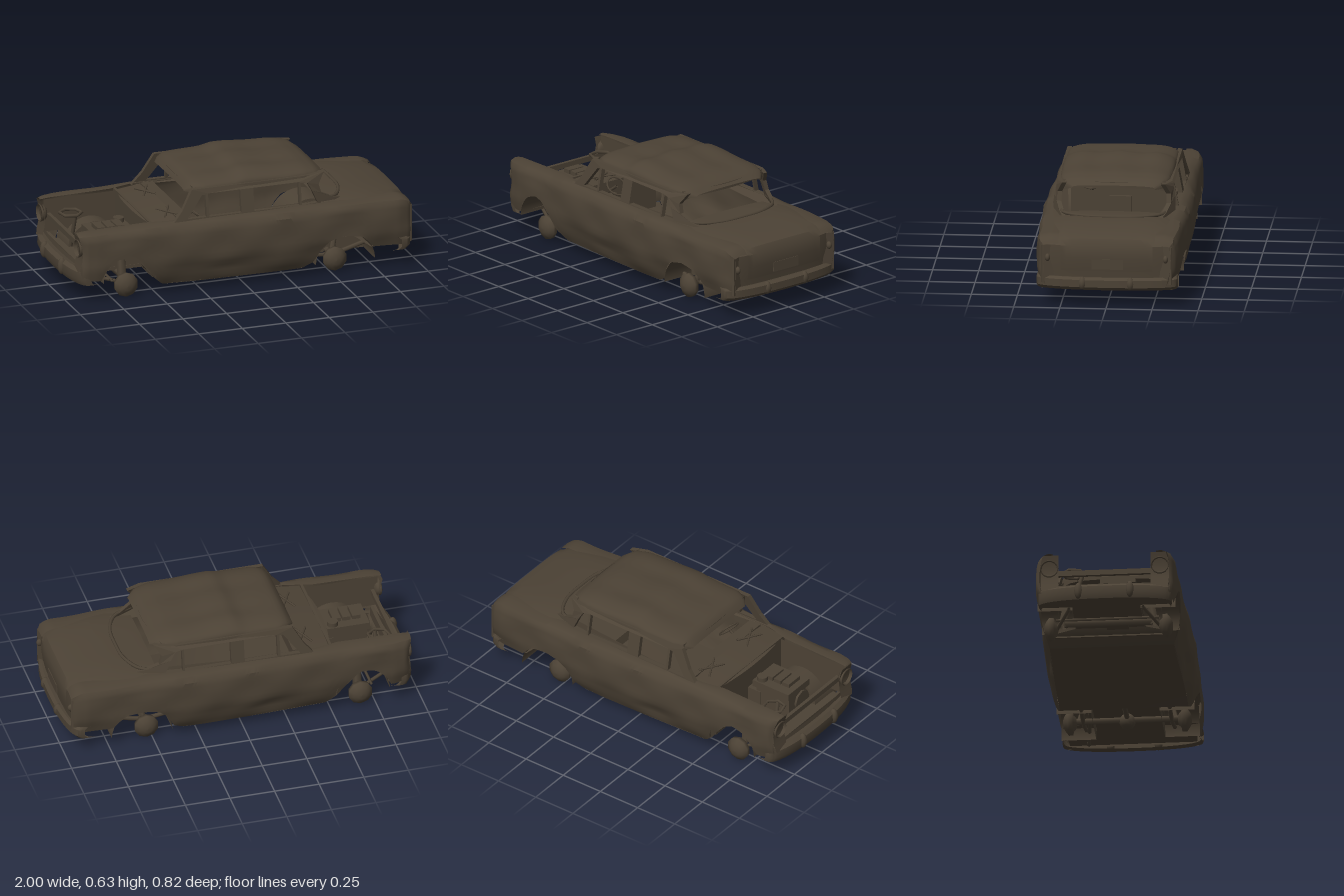
import * as THREE from 'three';
import { toCreasedNormals } from 'three/addons/utils/BufferGeometryUtils.js';

const rust = new THREE.MeshStandardMaterial({ color: 0x4c4235, side: THREE.DoubleSide });
rust.name = 'rustyBrown';

// Piecewise linear lookup in a list of [key, value]
function at(table, k) {
  if (k <= table[0][0]) return table[0][1];
  for (let i = 1; i < table.length; i++) {
    const [a, va] = table[i - 1], [b, vb] = table[i];
    if (k <= b) return va + (vb - va) * (k - a) / (b - a);
  }
  return table[table.length - 1][1];
}
const power = (n, e) => Math.sign(n) * Math.abs(n) ** e;

// Surface from rows of points: f(u, v, i, j) -> [x, y, z]
function surface(nu, nv, f) {
  const pos = [], idx = [];
  for (let i = 0; i <= nu; i++) for (let j = 0; j <= nv; j++) pos.push(...f(i / nu, j / nv, i, j));
  for (let i = 0; i < nu; i++) for (let j = 0; j < nv; j++) {
    const a = i * (nv + 1) + j, b = a + nv + 1;
    idx.push(a, b, a + 1, b, b + 1, a + 1);
  }
  const g = new THREE.BufferGeometry();
  g.setAttribute('position', new THREE.Float32BufferAttribute(pos, 3));
  g.setIndex(idx);
  return toCreasedNormals(g, 0.6);
}

// Body tables along x, and width against height
const topY = [[-0.95, 0.38], [-0.9, 0.385], [-0.6, 0.39], [-0.4, 0.395], [0.4, 0.39], [0.9, 0.38], [0.94, 0.365], [0.96, 0.34]];
const bottomY = [[-0.95, 0.19], [-0.93, 0.13], [-0.83, 0.125], [-0.8, 0.19], [-0.75, 0.235], [-0.68, 0.26], [-0.63, 0.24],
  [-0.57, 0.17], [-0.53, 0.11], [-0.47, 0.055], [-0.3, 0.05], [0.33, 0.05], [0.39, 0.08], [0.43, 0.16], [0.48, 0.205],
  [0.56, 0.22], [0.66, 0.205], [0.7, 0.17], [0.73, 0.13], [0.96, 0.12]];
const widthX = [[-0.95, 0.86], [-0.92, 0.91], [-0.85, 0.94], [-0.4, 0.955], [-0.1, 0.985], [0.2, 1], [0.6, 0.97], [0.88, 0.95], [0.94, 0.91], [0.96, 0.85]];
const widthY = [[0.04, 0.345], [0.1, 0.378], [0.2, 0.405], [0.3, 0.405], [0.36, 0.4], [0.38, 0.388], [0.4, 0.365]];
const railZ = [[-0.95, 0.28], [-0.55, 0.28], [-0.42, 0.31], [0.45, 0.31], [0.62, 0.27], [0.96, 0.26]];

function sideShell(s) {
  const rows = 12;
  return surface(110, rows + 2, (u, v, i, j) => {
    const x = -0.95 + 1.91 * u, b = at(bottomY, x), t = at(topY, x);
    if (j > rows) { // shoulder turning inward
      const k = (j - rows) / 2, z0 = at(widthY, t) * at(widthX, x);
      return [x, t + 0.012 * Math.sin(k * 2.4), s * (z0 + (at(railZ, x) - z0) * k)];
    }
    const y = b + (t - b) * j / rows;
    const dent = 0.018 * Math.exp(-(((x + 0.12) / 0.12) ** 2) - ((y - 0.12) / 0.03) ** 2)
      + 0.005 * Math.sin(x * 17 + s) * Math.sin((y - 0.05) * 22);
    // the nose leans back below the brow
    const lean = x < -0.9 ? 0.02 * Math.sin(Math.PI * Math.min(1, (t - y) / 0.2)) * (-0.9 - x) / 0.05 : 0;
    return [x + lean, y, s * (at(widthY, y) * at(widthX, x) - dent)];
  });
}

// Window frame of one side, leaning inward
function greenhouse(s) {
  const poly = p => p.map(q => new THREE.Vector2(...q));
  const shape = new THREE.Shape(poly([[-0.41, 0.39], [-0.35, 0.46], [-0.29, 0.565], [0.1, 0.565], [0.4, 0.565], [0.48, 0.565], [0.44, 0.505],
    [0.455, 0.455], [0.52, 0.42], [0.62, 0.39], [0.42, 0.39], [0, 0.39]]));
  shape.holes = [
    [[-0.325, 0.41], [-0.235, 0.53], [-0.215, 0.53], [-0.215, 0.41]],
    [[-0.2, 0.41], [-0.2, 0.535], [-0.015, 0.535], [-0.015, 0.41]],
    [[0.06, 0.41], [0.06, 0.535], [0.32, 0.535], [0.32, 0.41]],
    [[0.332, 0.41], [0.332, 0.53], [0.37, 0.525], [0.395, 0.48], [0.425, 0.41]],
  ].map(h => new THREE.Path(poly(h)));
  const g = new THREE.ExtrudeGeometry(shape, { depth: 0.025, bevelEnabled: false });
  const p = g.attributes.position;
  for (let i = 0; i < p.count; i++) {
    const x = p.getX(i), y = p.getY(i);
    p.setZ(i, s * (p.getZ(i) + 0.32 - (y - 0.39) * 0.19 - Math.max(0, x - 0.4) * 0.4));
  }
  g.computeVertexNormals();
  return g;
}

// Bumper: section swept across the width, wrapping round the corners; d is the facing direction
function bumper(d, half, section) {
  return surface(36, section.length - 1, (u, v, i, j) => {
    const a = (u - 0.5) * Math.PI, [out, y] = section[j];
    const z = power(Math.sin(a), 0.6), x = Math.max(0, Math.cos(a)) ** 0.5;
    return [d * (out - 0.025 * z * z - 0.075 * (1 - x)), y, z * (half - (1 - out) * 0.2)];
  });
}

export function createModel() {
  const car = new THREE.Group();
  car.name = 'wreckedSedan';
  const add = (name, g, x = 0, y = 0, z = 0, rx = 0, ry = 0, rz = 0) => {
    const m = new THREE.Mesh(g, rust);
    m.name = name;
    m.position.set(x, y, z);
    m.rotation.set(rx, ry, rz);
    car.add(m);
    return m;
  };
  const box = (name, w, h, d, ...place) => add(name, new THREE.BoxGeometry(w, h, d), ...place);
  const path = (name, r, ...pts) => add(name, new THREE.TubeGeometry(
    new THREE.CatmullRomCurve3(pts.map(p => new THREE.Vector3(...p))), pts.length > 2 ? 24 : 1, r, 6));

  // Dented roof
  const roofTop = [[-0.31, 0.545], [-0.295, 0.572], [-0.26, 0.595], [-0.15, 0.602], [-0.04, 0.608], [0.02, 0.622], [0.2, 0.613], [0.38, 0.6], [0.45, 0.585], [0.49, 0.555]];
  const roofWidth = [[-0.31, 0.235], [-0.28, 0.275], [-0.22, 0.3], [0.1, 0.306], [0.36, 0.3], [0.44, 0.28], [0.49, 0.225]];
  add('roof', surface(36, 28, (u, v) => {
    const x = -0.31 + 0.8 * u, a = (v - 0.5) * Math.PI, e = 0.535;
    const z = at(roofWidth, x) * power(Math.sin(a), 0.7);
    const dent = Math.sin(Math.PI * u) * Math.cos(a) * (0.006 * Math.sin(z * 29 + 1.6) + 0.004 * Math.sin(x * 21));
    return [x, e + (at(roofTop, x) - e) * Math.max(0, Math.cos(a)) ** 0.45 + dent, z];
  }));
  const headers = [['frontHeader', -0.295, -0.02], ['rearHeader', 0.475, 0.04]];
  for (const [name, x0, bow] of headers) // curved strips over the open windows
    add(name, surface(14, 2, (u, v) => {
      const t = 2 * u - 1;
      return [x0 - bow * t * t, 0.57 - v * (0.035 + 0.025 * t ** 6), t * 0.28];
    }));

  // Rear deck and tail panel
  const deck = [[0.46, 0.405], [0.6, 0.415], [0.7, 0.41], [0.88, 0.395], [0.94, 0.37], [0.962, 0.34], [0.965, 0.27], [0.955, 0.2], [0.95, 0.12]];
  const deckPanel = (half, lift, first, n) => surface(n, 16, (u, v, i) => {
    const [x, y] = deck[first + i], z = (2 * v - 1) * half, w = (z / 0.36) ** 4;
    return [x - (x > 0.9 ? 0.03 * w : 0) + (x > 0.93 ? lift : 0), y + (x > 0.95 ? 0 : lift - 0.03 * w), z];
  });
  add('rearDeck', deckPanel(0.355, 0, 0, 8));
  add('trunkLid', deckPanel(0.25, 0.006, 2, 5));
  box('plateRecess', 0.008, 0.055, 0.17, 0.97, 0.24, -0.005);
  path('rearWindowRim', 0.01, [0.45, 0.42, -0.3], [0.55, 0.415, -0.26], [0.61, 0.415, -0.14], [0.62, 0.415, 0],
    [0.61, 0.415, 0.14], [0.55, 0.415, 0.26], [0.45, 0.42, 0.3]);

  // Floor pan: x, y, half width
  const pan = [[-0.93, 0.13, 0.33], [-0.82, 0.13, 0.345], [-0.81, 0.13, 0.19], [-0.54, 0.13, 0.19], [-0.52, 0.1, 0.355], [-0.46, 0.055, 0.338],
    [-0.1, 0.052, 0.347], [0.33, 0.052, 0.35], [0.39, 0.08, 0.355], [0.4, 0.13, 0.19], [0.68, 0.14, 0.19], [0.72, 0.13, 0.365], [0.93, 0.12, 0.345]];
  add('floorPan', surface(pan.length - 1, 2, (u, v, i) => [pan[i][0], pan[i][1], (2 * v - 1) * pan[i][2]]));

  // Cowl, firewall and cabin fittings
  add('cowl', surface(4, 8, (u, v) => {
    const t = 2 * v - 1;
    return [-0.54 + 0.18 * u + 0.04 * t * t, 0.385 + 0.022 * u - 0.01 * t * t, t * 0.32];
  }));
  box('firewall', 0.015, 0.3, 0.62, -0.51, 0.24, 0);
  box('dashboard', 0.07, 0.06, 0.6, -0.33, 0.375, 0);
  add('steeringWheel', new THREE.TorusGeometry(0.058, 0.005, 6, 20), -0.24, 0.392, 0.18, -Math.PI / 2, 0.7, 0);
  path('steeringColumn', 0.008, [-0.36, 0.31, 0.18], [-0.24, 0.392, 0.18]);
  for (const z of [-0.24, 0.1]) for (const e of [0, 0.14])
    path('cowlStrut', 0.006, [-0.42, 0.4, z + e], [-0.35, 0.41, z + 0.14 - e]);

  // Engine
  box('engineBlock', 0.22, 0.16, 0.15, -0.68, 0.22, 0.06);
  box('engineHead', 0.24, 0.04, 0.19, -0.68, 0.295, 0.06);
  for (let i = 0; i < 3; i++) box('valveCover', 0.045, 0.025, 0.1, -0.74 + i * 0.055, 0.325, 0.07);
  add('airCleaner', new THREE.CylinderGeometry(0.03, 0.03, 0.04, 12), -0.6, 0.32, 0);
  add('fan', new THREE.CylinderGeometry(0.06, 0.06, 0.012, 8), -0.82, 0.24, 0.06, 0, 0, Math.PI / 2);
  box('gearbox', 0.12, 0.12, 0.12, -0.54, 0.18, 0.04);
  add('batteryTray', new THREE.TorusGeometry(0.06, 0.009, 6, 6), -0.81, 0.33, -0.18, Math.PI / 2, 0, 0.3);
  path('trayPost', 0.012, [-0.81, 0.14, -0.18], [-0.8, 0.33, -0.13]);

  // Nose and bumpers
  add('nosePanel', surface(16, 3, (u, v) => {
    const t = 2 * u - 1;
    return [-0.945 + 0.02 * t * t + 0.01 * v, 0.12 + 0.09 * v, t * 0.335];
  }));
  box('radiatorSupport', 0.02, 0.03, 0.58, -0.9, 0.29, 0);
  box('radiatorFrame', 0.02, 0.06, 0.58, -0.9, 0.16, 0);
  add('frontBumper', bumper(-1, 0.365, [[0.93, 0.185], [0.965, 0.192], [0.985, 0.175], [0.988, 0.135], [0.975, 0.105], [0.93, 0.105]]));
  add('rearBumper', bumper(1, 0.385, [[0.94, 0.162], [0.975, 0.167], [0.992, 0.155], [0.992, 0.115], [0.975, 0.097], [0.93, 0.095]]));

  // Axles
  path('rearAxle', 0.018, [0.53, 0.075, -0.3], [0.53, 0.075, 0.3]);
  add('differential', new THREE.SphereGeometry(0.045, 12, 8), 0.53, 0.067, 0);
  path('driveShaft', 0.014, [0.5, 0.075, 0], [0.34, 0.066, 0]);
  path('frontCrossmember', 0.022, [-0.67, 0.1, -0.24], [-0.67, 0.1, 0.24]);
  path('trackRod', 0.008, [-0.74, 0.09, -0.28], [-0.74, 0.09, 0.28]);
  path('exhaustPipe', 0.012, [0.5, 0.11, -0.2], [0.9, 0.11, -0.24]);

  // Parts on both sides
  const points = list => list.map(p => new THREE.Vector2(...p));
  const hubProfile = points([[0, -0.035], [0.03, -0.03], [0.045, -0.014], [0.065, -0.011], [0.068, 0.013], [0.045, 0.03], [0.025, 0.04], [0, 0.042]]);
  const lampProfile = points([[0, -0.02], [0.035, -0.012], [0.045, 0], [0.05, 0.02], [0.044, 0.025], [0.042, 0]]);
  for (const s of [-1, 1]) {
    add('bodySide', sideShell(s));
    add('windowFrame', greenhouse(s));
    add('innerFender', surface(12, 1, (u, v) => [-0.93 + 0.42 * u, 0.2 + 0.185 * v, s * 0.28]));
    // Front end of each fender, with an open lamp bowl
    add('fenderNose', surface(6, 4, (u, v) => {
      const y = 0.17 + 0.21 * u;
      return [-0.95 + 0.02 * Math.sin(Math.PI * Math.min(1, (0.38 - y) / 0.2)), y, s * (0.25 + (at(widthY, y) * 0.86 - 0.25) * v)];
    }));
    add('headlamp', new THREE.LatheGeometry(lampProfile, 14), -0.925, 0.305, s * 0.3, 0, 0, Math.PI / 2);
    add('tailLamp', new THREE.SphereGeometry(0.018, 10, 8), 0.955, 0.27, s * 0.32).scale.set(1, 1.2, 0.8);
    box('tailCorner', 0.012, 0.21, 0.07, 0.945, 0.235, s * 0.32, 0, s * 0.3, 0);
    for (const [name, x, y, h, z] of [['frontOverrider', -0.975, 0.153, 0.047, 0.14], ['rearOverrider', 0.975, 0.135, 0.036, 0.13]])
      add(name, new THREE.SphereGeometry(1, 10, 8), x, y, s * z).scale.set(0.025, h, 0.022);
    // Wheel wells, hubs and springs
    for (const [x, y, r] of [[-0.67, 0.11, 0.15], [0.57, 0.065, 0.17]]) {
      const liner = new THREE.CylinderGeometry(r, r, 0.19, 16, 1, true, Math.PI / 2, Math.PI);
      add('wheelWell', liner, x, y, s * 0.28, Math.PI / 2, 0, 0);
      add('wellWall', new THREE.CircleGeometry(r, 16, 0, Math.PI), x, y, s * 0.187);
    }
    for (const x of [-0.67, 0.53])
      add('wheelHub', new THREE.LatheGeometry(hubProfile, 10), x, 0.068, s * 0.307, s * Math.PI / 2, 0, 0);
    path('springStrut', 0.025, [-0.67, 0.08, s * 0.25], [-0.67, 0.24, s * 0.22]);
    path('controlArm', 0.01, [-0.85, 0.105, s * 0.2], [-0.67, 0.07, s * 0.28]);
    path('leafSpring', 0.012, [0.38, 0.085, s * 0.24], [0.53, 0.07, s * 0.24], [0.74, 0.12, s * 0.24]);
    path('shockAbsorber', 0.016, [0.53, 0.08, s * 0.26], [0.56, 0.2, s * 0.23]);
  }
  return car;
}
